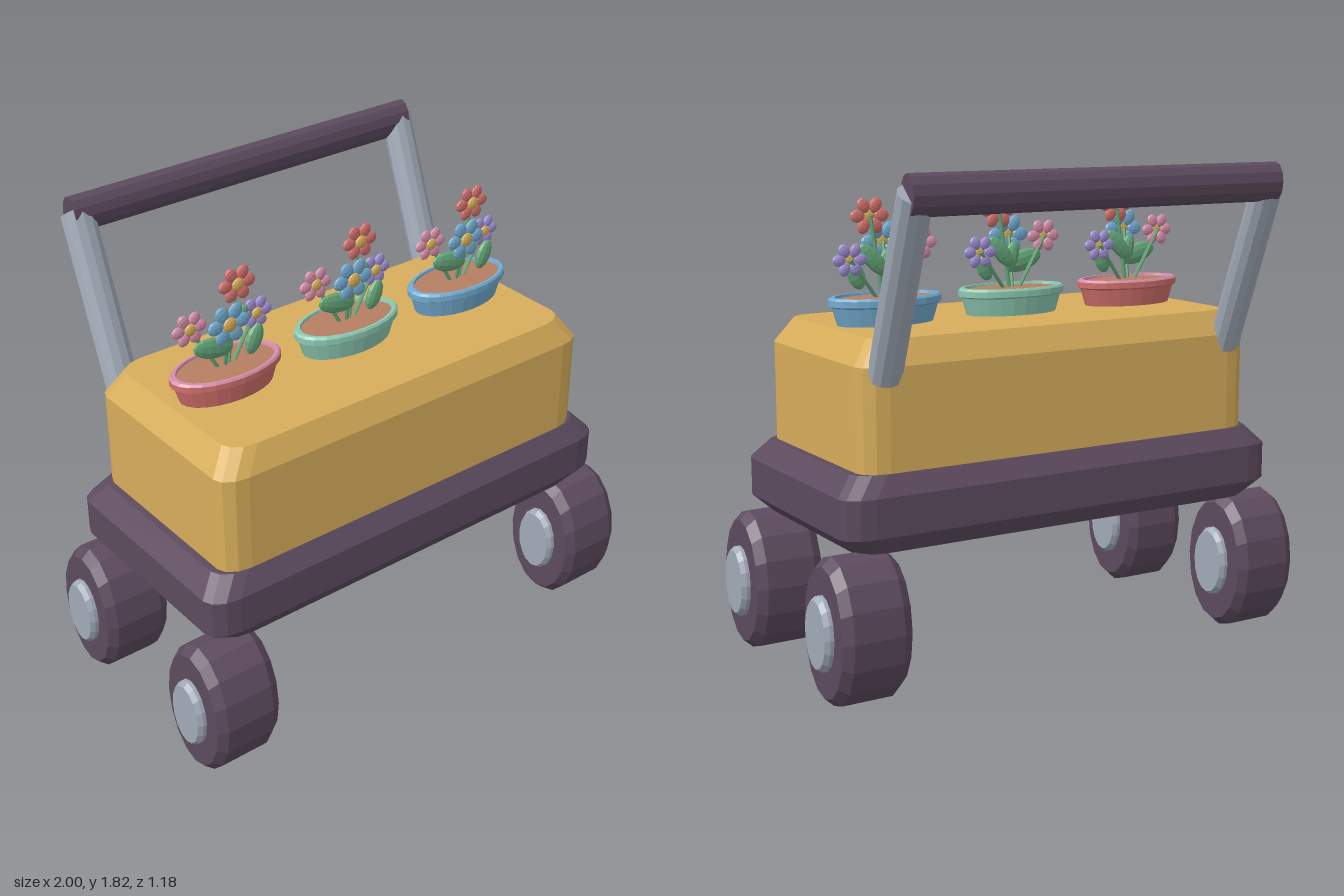
import * as THREE from 'three';

const mat = (name, color) => {
  const m = new THREE.MeshStandardMaterial({ color });
  m.name = name;
  return m;
};

// Faceted normals
function flat(geo) {
  const g = geo.index ? geo.toNonIndexed() : geo;
  g.computeVertexNormals();
  return g;
}

const DEPTH = 0.645; // front-to-back squash shared by the round parts
const MID_Z = 0.058; // centre line of the body

// Stack of rounded rectangles, layers = [y, halfX, halfZ], closed by flat caps
function bevelledBlock(layers, rx, rz, seg = 3) {
  const ring = ([y, hx, hz]) => {
    const pts = [];
    for (let c = 0; c < 4; c++) {
      const sx = c === 0 || c === 3 ? 1 : -1, sz = c < 2 ? 1 : -1;
      for (let i = 0; i <= seg; i++) {
        const a = (c + i / seg) * Math.PI / 2;
        pts.push([sx * (hx - rx) + rx * Math.cos(a), y, sz * (hz - rz) + rz * Math.sin(a)]);
      }
    }
    return pts;
  };
  const rings = layers.map(ring), pos = [], n = rings[0].length;
  const tri = (a, b, c) => pos.push(...a, ...b, ...c);
  const top = rings[rings.length - 1];
  for (let i = 0; i < n; i++) {
    const j = (i + 1) % n;
    for (let k = 0; k < rings.length - 1; k++) {
      const lo = rings[k], hi = rings[k + 1];
      tri(lo[i], hi[i], lo[j]);
      tri(lo[j], hi[i], hi[j]);
    }
    tri([0, rings[0][0][1], 0], rings[0][i], rings[0][j]);
    tri([0, top[0][1], 0], top[j], top[i]);
  }
  const g = new THREE.BufferGeometry();
  g.setAttribute('position', new THREE.Float32BufferAttribute(pos, 3));
  g.computeVertexNormals();
  return g;
}

const lathe = (pts, seg) =>
  flat(new THREE.LatheGeometry(pts.map(p => new THREE.Vector2(...p)), seg));

// Round bar between two points
function rod(a, b, r, seg) {
  const dir = b.clone().sub(a);
  const g = flat(new THREE.CylinderGeometry(r, r, dir.length(), seg));
  g.applyQuaternion(new THREE.Quaternion().setFromUnitVectors(
    new THREE.Vector3(0, 1, 0), dir.clone().normalize()));
  const m = a.clone().add(b).multiplyScalar(0.5);
  return g.translate(m.x, m.y, m.z);
}

export function createModel() {
  const model = new THREE.Group();
  model.name = 'flowerCart';
  const plum = mat('dark plum', 0x5d4b5f), steel = mat('steel grey', 0xa2abb9),
    ochre = mat('ochre yellow', 0xd8ae5b), red = mat('coral red', 0xd2716c),
    mint = mat('mint', 0x8ecab2), blue = mat('sky blue', 0x74acd2),
    soil = mat('soil brown', 0xb67f62), green = mat('leaf green', 0x66a87a),
    violet = mat('violet', 0x9f8fd2), pink = mat('pink', 0xd78fab);

  const add = (parent, name, geo, material, x = 0, y = 0, z = 0) => {
    const m = new THREE.Mesh(geo, material);
    m.name = name;
    m.position.set(x, y, z);
    parent.add(m);
    return m;
  };

  // Chassis and planter box
  add(model, 'chassis', bevelledBlock([[0.525, 0.84, 0.4], [0.59, 0.91, 0.443],
    [0.73, 0.91, 0.443], [0.8, 0.845, 0.4]], 0.11, 0.07), plum, 0, 0, MID_Z);
  add(model, 'planterBox', bevelledBlock([[0.79, 0.82, 0.398], [1.165, 0.82, 0.398],
    [1.255, 0.755, 0.358]], 0.1, 0.065), ochre, 0, 0, MID_Z);

  // Wheels: bevelled tyre with a hub sticking out on both sides
  const tyreGeo = lathe([[0, -0.131], [0.235, -0.131], [0.267, -0.095], [0.267, 0.095],
    [0.235, 0.131], [0, 0.131]], 16).rotateZ(Math.PI / 2);
  const hubGeo = lathe([[0, -0.163], [0.122, -0.163], [0.136, -0.145], [0.136, 0.145],
    [0.122, 0.163], [0, 0.163]], 16).rotateZ(Math.PI / 2);
  for (const sx of [-1, 1]) for (const z of [0.42, -0.3]) {
    const wheel = new THREE.Group();
    wheel.name = (z > 0 ? 'front' : 'rear') + (sx > 0 ? 'Left' : 'Right') + 'Wheel';
    add(wheel, 'tyre', tyreGeo, plum);
    add(wheel, 'hub', hubGeo, steel);
    wheel.position.set(sx * 0.837, 0.267, z);
    wheel.scale.z = DEPTH;
    model.add(wheel);
  }

  // Push handle
  const handle = new THREE.Group();
  handle.name = 'handle';
  handle.scale.z = DEPTH;
  model.add(handle);
  for (const sx of [-1, 1]) {
    add(handle, sx > 0 ? 'leftPost' : 'rightPost', rod(
      new THREE.Vector3(sx * 0.725, 1.13, -0.31 / DEPTH),
      new THREE.Vector3(sx * 0.725, 1.755, -0.545 / DEPTH), 0.065, 12), steel);
  }
  add(handle, 'gripBar', rod(new THREE.Vector3(-0.755, 1.75, -0.545 / DEPTH),
    new THREE.Vector3(0.755, 1.75, -0.545 / DEPTH), 0.071, 12), plum);

  // Shared flower and pot shapes
  const ball = flat(new THREE.SphereGeometry(1, 10, 7));
  const potGeo = lathe([[0, 1.25], [0.185, 1.25], [0.207, 1.32], [0.221, 1.326], [0.221, 1.348]], 24);
  const rimGeo = lathe([[0.221, 1.348], [0.212, 1.356], [0.196, 1.356], [0.19, 1.335]], 24);
  const soilGeo = lathe([[0.194, 1.346], [0, 1.352]], 24);

  // x, y, z, radius, petal colour
  const flowers = [[0.057, 1.64, 0.06, 0.076, red], [-0.025, 1.54, 0.125, 0.086, blue],
    [0.15, 1.49, 0.033, 0.068, violet], [-0.145, 1.535, 0.065, 0.07, pink]];
  // x, y, z, half length, half width, lean from vertical
  const leaves = [[-0.065, 1.445, 0.085, 0.083, 0.04, 1.3], [0.098, 1.43, 0.095, 0.058, 0.034, -0.4],
    [0.05, 1.485, 0.05, 0.075, 0.033, -0.75], [-0.01, 1.46, 0.075, 0.06, 0.03, 0.25]];

  const pots = [['right', -0.53, red, pink], ['middle', 0, mint, mint], ['left', 0.53, blue, blue]];
  for (const [side, px, body, rimMat] of pots) {
    const pot = new THREE.Group();
    pot.name = side + 'Pot';
    pot.position.x = px;
    model.add(pot);
    for (const [name, geo, m] of [['potBody', potGeo, body], ['potRim', rimGeo, rimMat], ['soil', soilGeo, soil]]) {
      add(pot, name, geo, m, 0, 0, MID_Z).scale.z = 0.53;
    }

    for (const [x, y, z, r, petalMat] of flowers) {
      const flower = new THREE.Group();
      flower.name = 'flower';
      flower.position.set(x, y, z);
      for (let i = 0; i < 6; i++) {
        const a = (i / 6) * Math.PI * 2;
        const p = add(flower, 'petal', ball, petalMat,
          Math.cos(a) * r * 0.62, Math.sin(a) * r * 0.55, 0);
        p.scale.set(r * 0.38, r * 0.31, 0.011);
        p.rotation.z = a;
      }
      add(flower, 'flowerCentre', ball, ochre, 0, 0, 0.007).scale.set(r * 0.32, r * 0.32, 0.011);
      pot.add(flower);
      add(pot, 'stem', rod(new THREE.Vector3(x * 0.15, 1.33, MID_Z),
        new THREE.Vector3(x, y, z - 0.006), 0.007, 6), green);
    }

    for (const [x, y, z, len, wid, lean] of leaves) {
      const leaf = add(pot, 'leaf', ball, green, x, y, z);
      leaf.scale.set(wid, len, 0.017);
      leaf.rotation.z = lean;
    }
  }
  return model;
}
